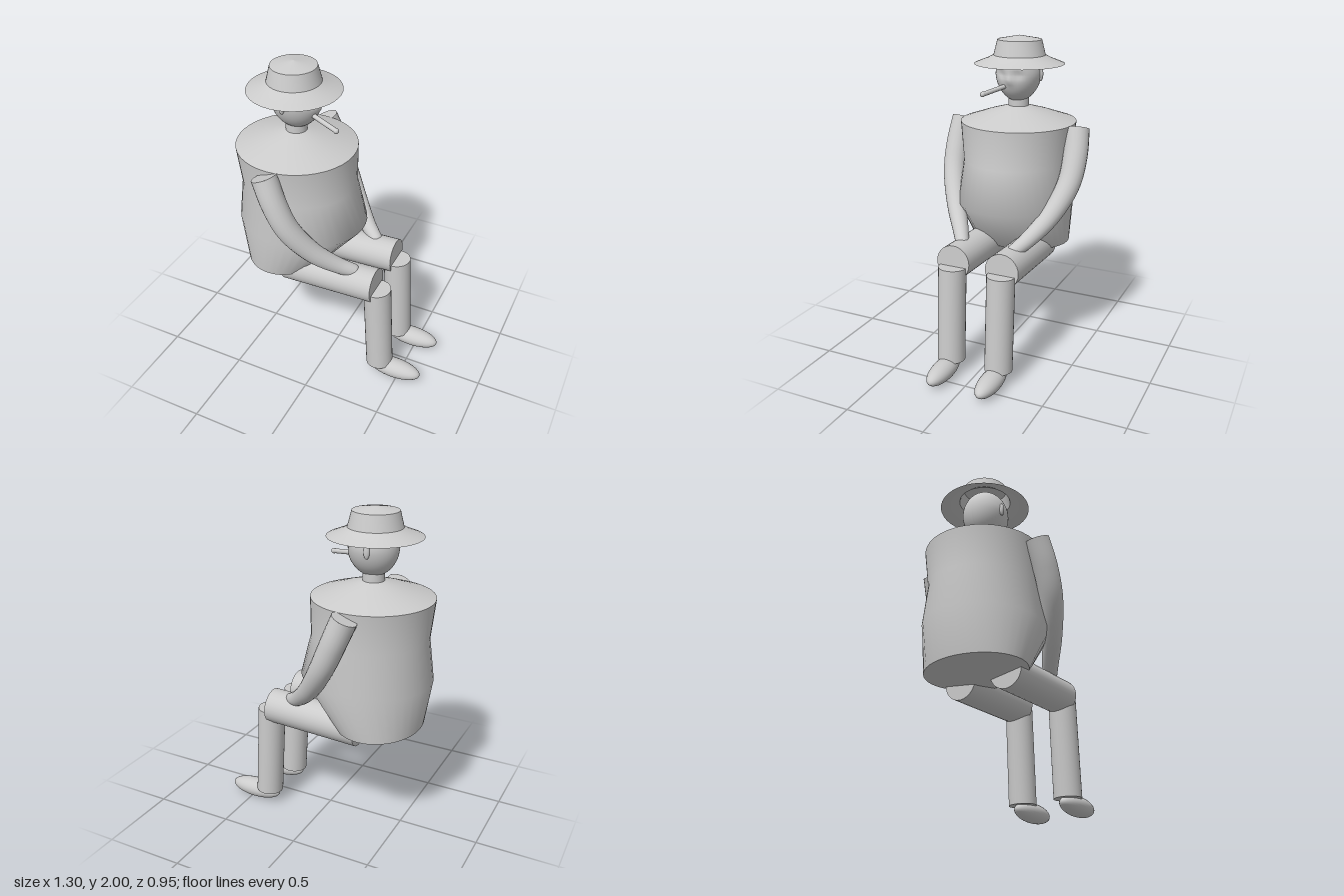
import * as THREE from 'three';
import { mergeVertices } from 'three/addons/utils/BufferGeometryUtils.js';

const material = new THREE.MeshStandardMaterial({ color: 0xcccccc, side: THREE.DoubleSide });
const V = (x, y, z) => new THREE.Vector3(x, y, z);

export function createModel() {
  const model = new THREE.Group();
  model.name = 'seatedFigure';

  const add = (name, geometry, parent = model) => {
    const mesh = new THREE.Mesh(geometry, material);
    mesh.name = name;
    parent.add(mesh);
    return mesh;
  };

  // Elliptical rings [y, centreX, radiusX, radiusZ], listed from bottom to top
  const loft = (rings) => {
    const geo = new THREE.LatheGeometry(rings.map(r => new THREE.Vector2(r[2], r[0])), 40);
    const pos = geo.attributes.position;
    for (let i = 0; i < pos.count; i++) {
      const [, cx, rx, rz] = rings[i % rings.length];
      pos.setX(i, pos.getX(i) + cx);
      pos.setZ(i, pos.getZ(i) * rz / rx);
    }
    geo.deleteAttribute('uv');
    geo.deleteAttribute('normal');
    const merged = mergeVertices(geo, 1e-5);
    merged.computeVertexNormals();
    return merged;
  };

  // Straight round limb from a to b
  const limb = (name, a, b, ra, rb, parent = model) => {
    const dir = b.clone().sub(a);
    const mesh = add(name, new THREE.CylinderGeometry(rb, ra, dir.length(), 28), parent);
    mesh.position.copy(a).add(b).multiplyScalar(0.5);
    mesh.quaternion.setFromUnitVectors(V(0, 1, 0), dir.normalize());
    return mesh;
  };

  const ellipsoid = (name, centre, rx, ry, rz, parent = model) => {
    const mesh = add(name, new THREE.SphereGeometry(1, 32, 20), parent);
    mesh.position.copy(centre);
    mesh.scale.set(rx, ry, rz);
    return mesh;
  };

  // Torso: base, bellied sides and sloping shoulders, with hard edges between
  const torso = new THREE.Group();
  torso.name = 'torso';
  model.add(torso);
  const hem = [0.69, -0.34, 0.26, 0.32];
  const rim = [1.48, -0.275, 0.365, 0.36];
  add('torsoBase', loft([[0.645, -0.28, 0.001, 0.001], hem]), torso);
  add('torsoSides', loft([hem, [0.98, -0.245, 0.405, 0.36], [1.24, -0.262, 0.353, 0.335], rim]), torso);
  add('shoulders', loft([rim, [1.535, -0.275, 0.2, 0.2], [1.575, -0.275, 0.06, 0.06]]), torso);

  // Neck
  limb('neck', V(-0.275, 1.54, 0), V(-0.275, 1.66, 0), 0.064, 0.064);

  // Head: egg shape with eye sockets, nose and brow pushed along the face
  const headGeo = new THREE.SphereGeometry(1, 48, 32);
  const pos = headGeo.attributes.position;
  const bump = (y, z, cy, cz, sy, sz) => Math.exp(-(((y - cy) / sy) ** 2) - ((z - cz) / sz) ** 2);
  for (let i = 0; i < pos.count; i++) {
    const ux = pos.getX(i), uy = pos.getY(i);
    const y = 1.77 + uy * 0.17;
    const z = pos.getZ(i) * 0.14 * (1 + 0.1 * Math.min(0, uy));
    let x = -0.27 + ux * 0.15;
    if (ux > 0) {
      x += 0.014 * bump(y, z, 1.745, 0, 0.025, 0.02);
      x += 0.008 * bump(y, z, 1.815, 0, 0.02, 0.09);
      x -= 0.014 * bump(y, Math.abs(z), 1.78, 0.055, 0.022, 0.03);
    }
    pos.setXYZ(i, x, y, z);
  }
  headGeo.computeVertexNormals();
  add('head', headGeo);

  // Hat: open curved brim, tapered crown and shallow top
  const hat = new THREE.Group();
  hat.name = 'hat';
  model.add(hat);
  const round = (...rings) => loft(rings.map(([y, r]) => [y, -0.28, r, r]));
  add('hatBrim', round([1.83, 0.278], [1.847, 0.235], [1.863, 0.195], [1.882, 0.16]), hat);
  add('hatCrown', round([1.88, 0.16], [1.975, 0.136]), hat);
  add('hatTop', round([1.975, 0.136], [2.0, 0.001]), hat);

  // Cigarette at the corner of the mouth
  limb('cigarette', V(-0.15, 1.707, 0.035), V(0.03, 1.682, 0.1), 0.014, 0.014);
  ellipsoid('cigaretteTip', V(0.03, 1.682, 0.1), 0.016, 0.016, 0.016);

  for (const s of [1, -1]) {
    const side = s > 0 ? 'left' : 'right';
    // The figure sits facing +x
    ellipsoid(side + 'Ear', V(-0.29, 1.77, s * 0.138), 0.018, 0.042, 0.014);

    // Arm: curved tube tapering to a rounded hand
    const arm = new THREE.Group();
    arm.name = side + 'Arm';
    model.add(arm);
    const path = new THREE.CatmullRomCurve3([
      V(-0.28, 1.46, s * 0.385), V(-0.215, 1.3, s * 0.4), V(-0.14, 1.14, s * 0.388),
      V(-0.02, 0.96, s * 0.315), V(0.1, 0.84, s * 0.225), V(0.175, 0.792, s * 0.175)]);
    const steps = 24, sides = 20;
    const tube = new THREE.TubeGeometry(path, steps, 1, sides);
    const tp = tube.attributes.position, p = V(0, 0, 0);
    for (let i = 0; i < tp.count; i++) {
      const t = Math.floor(i / (sides + 1)) / steps;
      const c = path.getPointAt(t);
      const r = 0.076 - 0.034 * t ** 2;
      p.fromBufferAttribute(tp, i).sub(c).multiplyScalar(r).add(c);
      tp.setXYZ(i, p.x, p.y, p.z);
    }
    add('sleeve', tube, arm);
    const cap = add('shoulderCap', new THREE.CircleGeometry(0.076, sides), arm);
    cap.position.copy(path.getPointAt(0));
    cap.quaternion.setFromUnitVectors(V(0, 0, 1), path.getTangentAt(0).negate());
    ellipsoid('hand', path.getPointAt(1), 0.042, 0.042, 0.042, arm);

    // Leg: level thigh, near-upright shin and pointed oval foot
    const leg = new THREE.Group();
    leg.name = side + 'Leg';
    model.add(leg);
    limb('thigh', V(-0.277, 0.687, s * 0.16), V(0.327, 0.713, s * 0.16), 0.107, 0.107, leg);
    limb('shin', V(0.37, 0.09, s * 0.16), V(0.335, 0.69, s * 0.16), 0.085, 0.085, leg);
    ellipsoid('foot', V(0.475, 0.063, s * 0.16), 0.175, 0.06, 0.067, leg);
  }

  // Set the feet on the ground
  const box = new THREE.Box3().setFromObject(model);
  model.position.y = -box.min.y;
  return model;
}
